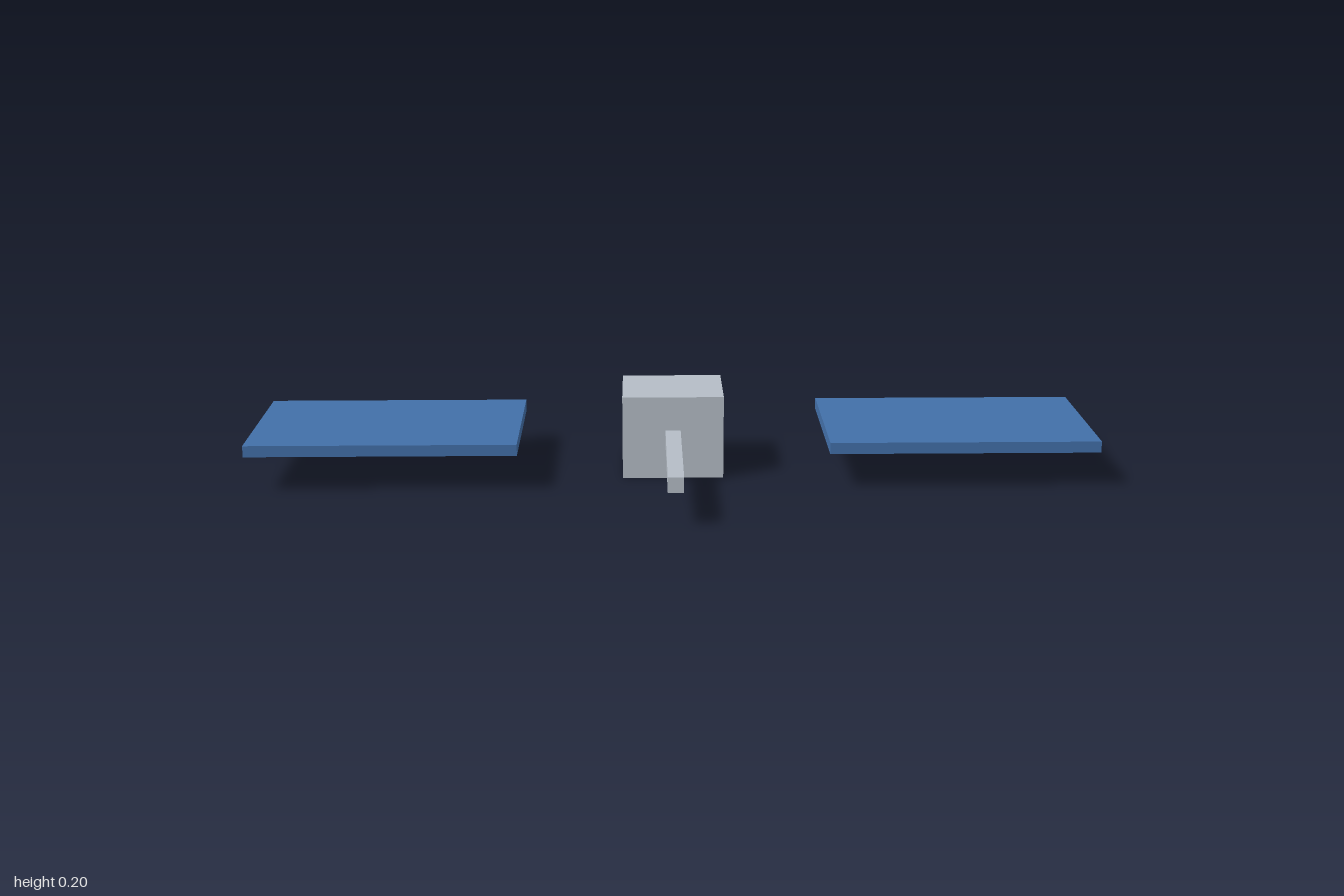
import * as THREE from 'three';

export function createModel() {
  const model = new THREE.Group();
  model.name = 'satellite';

  const hullGrey = new THREE.MeshStandardMaterial({ name: 'hullGrey', color: 0xb4bcc5 });
  const panelBlue = new THREE.MeshStandardMaterial({ name: 'panelBlue', color: 0x426fa8 });

  const addBox = (name, material, size, position) => {
    const mesh = new THREE.Mesh(new THREE.BoxGeometry(...size), material);
    mesh.name = name;
    mesh.position.set(...position);
    model.add(mesh);
  };

  // Central body, standing on the ground plane
  addBox('body', hullGrey, [0.24, 0.2, 0.198], [0, 0.1, -0.129]);

  // Slim boom reaching forward from the body
  addBox('boom', hullGrey, [0.036, 0.036, 0.35], [0, 0.1, 0.144]);

  // Detached solar panels on either side
  for (const [name, side] of [['leftPanel', 1], ['rightPanel', -1]]) {
    addBox(name, panelBlue, [0.635, 0.027, 0.38], [side * 0.6825, 0.1, -0.129]);
  }

  return model;
}
